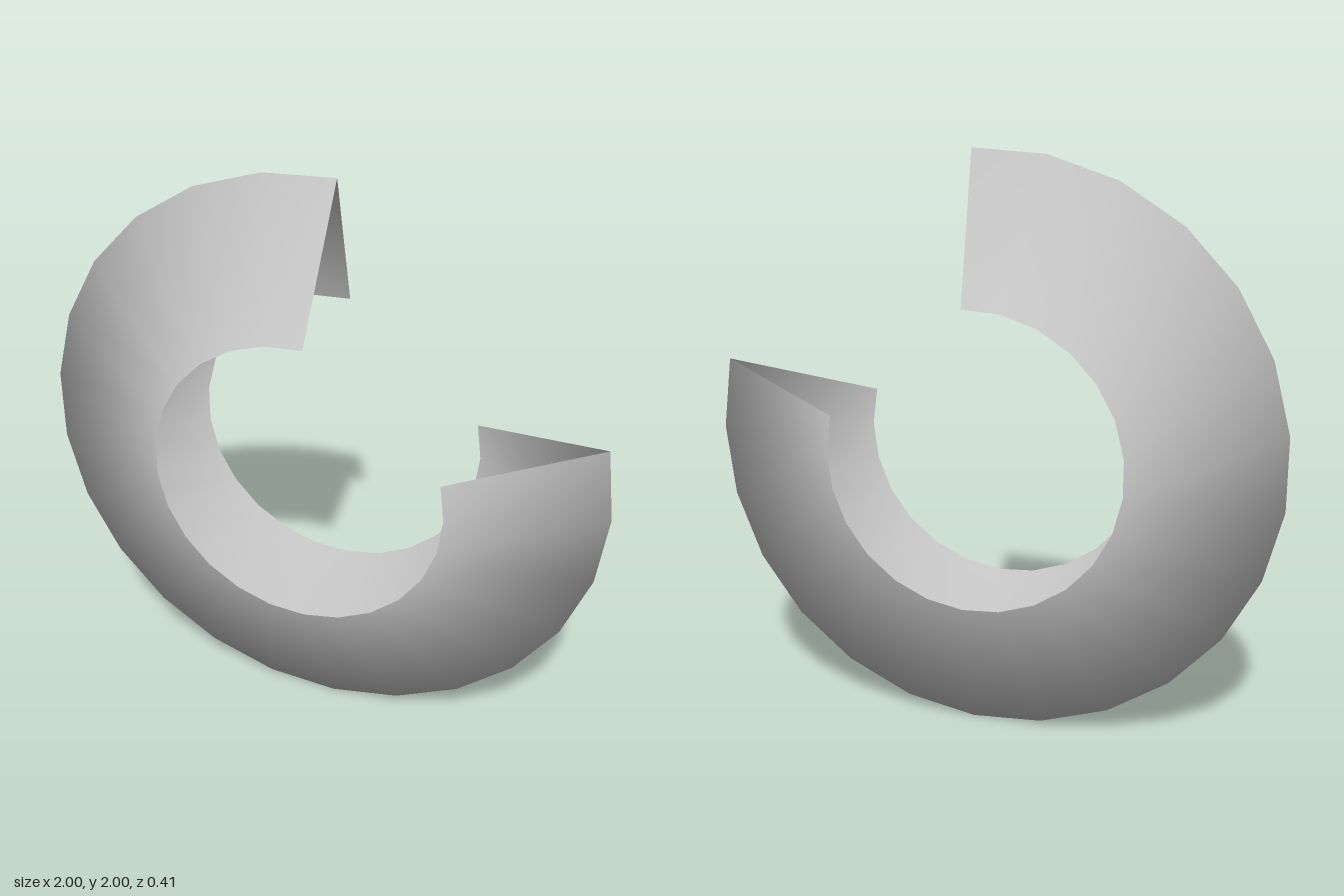
import * as THREE from 'three';

// Open ring with a V-shaped section, most of a full turn around the z axis
export function createModel() {
  const model = new THREE.Group();
  model.name = 'openRing';

  const grey = new THREE.MeshStandardMaterial({ color: 0xcccccc, side: THREE.DoubleSide });
  grey.name = 'light grey';

  // V profile: back inner rim, outer ridge, front inner rim
  const outer = 1.002, inner = 0.511, half = 0.205;
  const profile = [
    new THREE.Vector2(inner, -half),
    new THREE.Vector2(outer, 0),
    new THREE.Vector2(inner, half),
  ];

  // 20 steps of 14.4 degrees, leaving a gap at the upper left of the model
  const step = THREE.MathUtils.degToRad(14.4);
  const start = Math.PI / 2 + 6 * step;
  const geometry = new THREE.LatheGeometry(profile, 20, start, 20 * step);
  geometry.rotateX(Math.PI / 2);

  const ring = new THREE.Mesh(geometry, grey);
  ring.name = 'ringShell';
  ring.position.set(-0.004, 1, 0);
  model.add(ring);
  return model;
}
